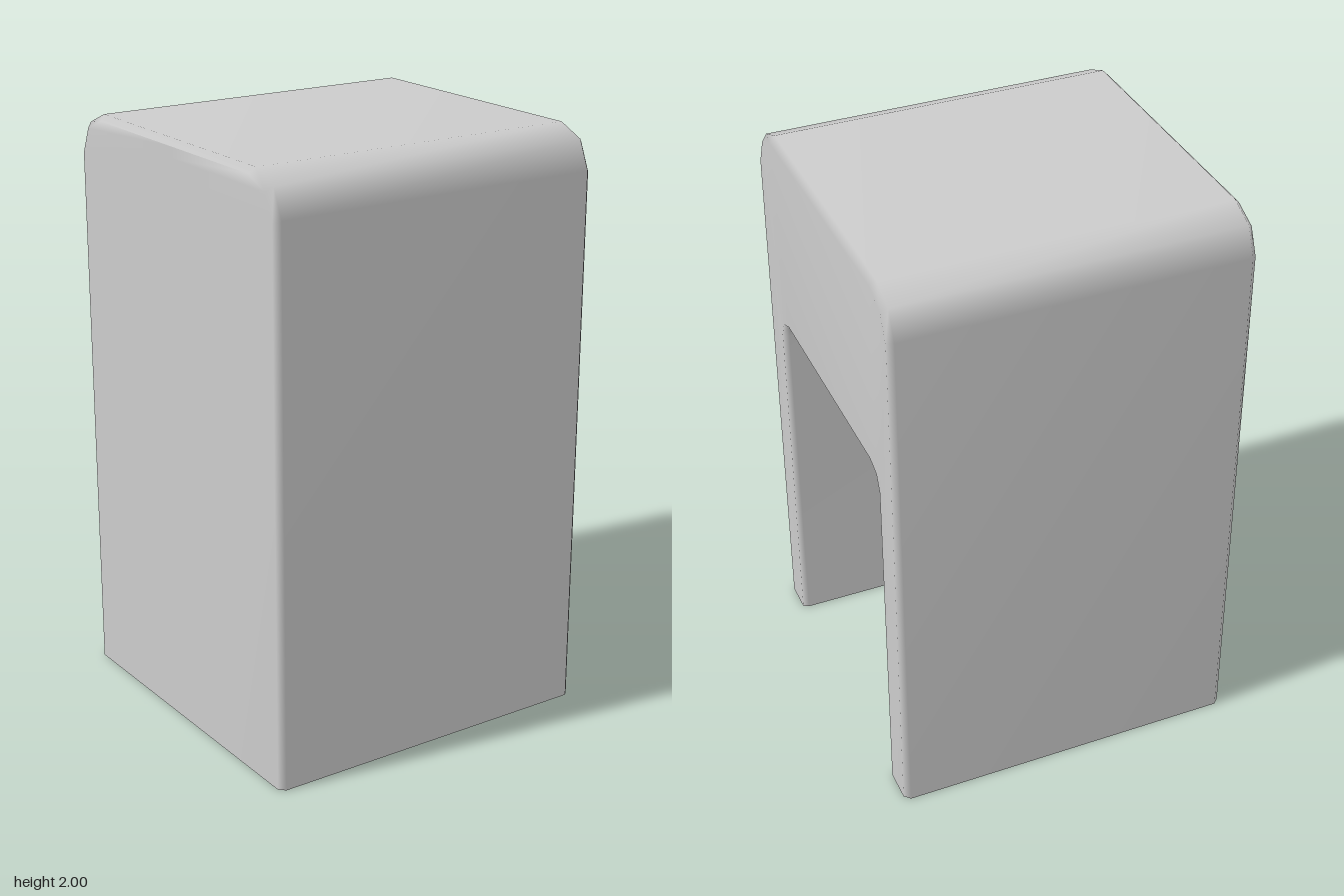
import * as THREE from 'three';

// Arch outline as [z, y] points, from the +z foot over the top to the -z foot.
// r is the corner radius.
function arch(halfWidth, top, r) {
  const half = [
    [halfWidth, 0],
    [halfWidth, top - r],
    [halfWidth - 0.3 * r, top - 0.3 * r],
    [halfWidth - r, top],
  ];
  return [...half, ...half.map(([z, y]) => [-z, y]).reverse()];
}

// Joins a row of arch outlines, each at its own x, into one skin.
function loft(rings) {
  const n = rings[0].points.length;
  const positions = [];
  const index = [];
  rings.forEach(({ x, points }, i) => {
    points.forEach(([z, y], j) => {
      positions.push(x, y, z);
      if (i + 1 < rings.length && j + 1 < n) {
        const a = i * n + j;
        index.push(a, a + 1, a + n, a + 1, a + n + 1, a + n);
      }
    });
  });
  const geometry = new THREE.BufferGeometry();
  geometry.setAttribute('position', new THREE.Float32BufferAttribute(positions, 3));
  geometry.setIndex(index);
  geometry.computeVertexNormals();
  return geometry;
}

export function createModel() {
  const group = new THREE.Group();
  group.name = 'hoodedShelter';
  const material = new THREE.MeshStandardMaterial({ color: 0xcccccc, side: THREE.DoubleSide });

  const bevel = 0.02;
  const outer = arch(0.6, 2, 0.135);
  const outerInset = arch(0.6 - bevel, 2 - bevel, 0.125);
  const door = arch(0.463, 1.305, 0.075);
  const doorFlared = arch(0.473, 1.315, 0.08);

  // Doorway lining, front panel around the opening, outer walls and roof, back panel
  const shell = new THREE.Mesh(loft([
    { x: -0.05, points: door },
    { x: 0.6 - bevel, points: door },
    { x: 0.6, points: doorFlared },
    { x: 0.6, points: outerInset },
    { x: 0.6 - bevel, points: outer },
    { x: -0.6 + bevel, points: outer },
    { x: -0.6, points: outerInset },
    { x: -0.6, points: outerInset.map(([, y]) => [0, y]) },
  ]), material);
  shell.name = 'shellWithDoorway';
  group.add(shell);
  return group;
}
